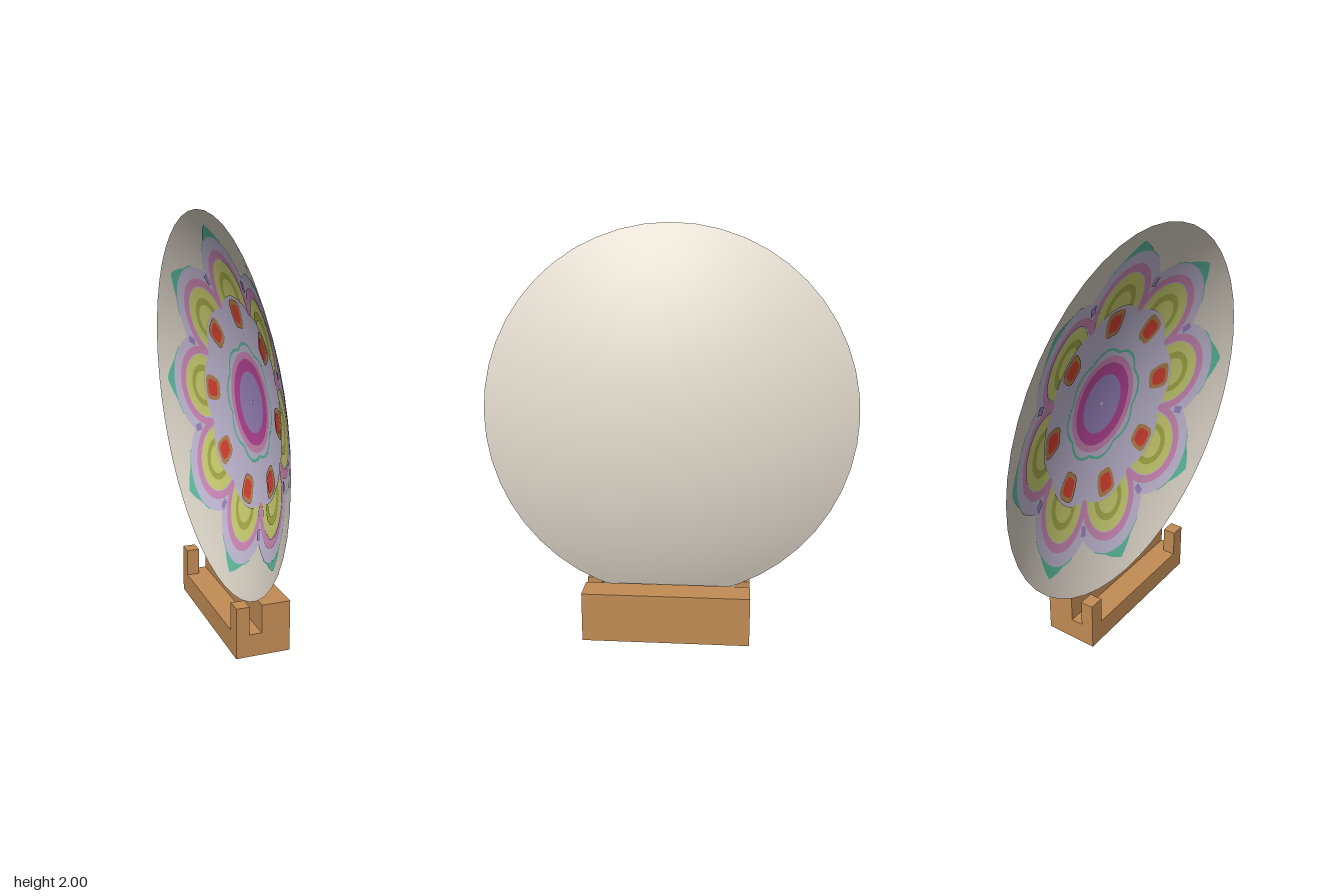
import * as THREE from 'three';

const material = (name, color) => new THREE.MeshStandardMaterial({ name, color, side: THREE.DoubleSide });
const M = {
  cream: material('cream glaze', 0xe4dccf),
  wood: material('wood brown', 0xc38d56),
  teal: material('teal', 0x5fc4a6),
  lavender: material('lavender', 0xcdc4e0),
  pink: material('pink', 0xda90c0),
  yellow: material('yellow green', 0xd8dc78),
  olive: material('olive', 0xb2b84e),
  red: material('red', 0xea4636),
  magenta: material('magenta', 0xc54aa2),
  violet: material('violet', 0xa48cc8),
};

// Spherical bowl: rim radius, depth, and sphere radius
const RIM = 0.9165, DEPTH = 0.212;
const SPHERE = (RIM * RIM + DEPTH * DEPTH) / (2 * DEPTH);
const bowl = (r) => SPHERE - Math.sqrt(SPHERE * SPHERE - r * r);

// Painted patch lying on the bowl, between two radius functions of the angle
function paint(name, mat, inner, outer, half, { turn = 0, lift = 0.003, across = 24, along = 6 } = {}) {
  const geo = new THREE.PlaneGeometry(2 * half, 1, across, along);
  const p = geo.attributes.position;
  for (let i = 0; i < p.count; i++) {
    const a = p.getX(i), t = p.getY(i) + 0.5;
    const r = THREE.MathUtils.lerp(inner(a), outer(a), t);
    p.setXYZ(i, r * Math.cos(a + turn), bowl(r) + lift, r * Math.sin(a + turn));
  }
  geo.computeVertexNormals();
  const mesh = new THREE.Mesh(geo, mat);
  mesh.name = name;
  return mesh;
}

// Round petal outline: a circle of radius rho centred at AXIS on the petal axis
const AXIS = 0.515;
const lobe = (rho) => (a) =>
  AXIS * Math.cos(a) + Math.sqrt(Math.max(0, rho * rho - (AXIS * Math.sin(a)) ** 2));
const flat = (r) => () => r;
const chord = (a) => AXIS * Math.cos(a);
const halfAngle = (rho) => Math.asin(rho / AXIS);

function createMandala() {
  const g = new THREE.Group();
  g.name = 'mandala';
  const full = { across: 96, along: 3 };

  // Centre rosette
  g.add(paint('centreDisc', M.violet, flat(0.008), flat(0.15), Math.PI, full));
  g.add(paint('centreRing', M.magenta, flat(0.15), flat(0.21), Math.PI, full));
  g.add(paint('centreHalo', M.pink, flat(0.21), flat(0.245), Math.PI, full));
  const scallop = (a) => 0.255 + 0.025 * Math.abs(Math.cos(4 * a));
  const scallopEdge = (a) => scallop(a) + 0.014;
  g.add(paint('centreFrill', M.lavender, flat(0.245), scallop, Math.PI, full));
  g.add(paint('centreScallop', M.teal, scallop, scallopEdge, Math.PI, full));

  // Eight petals, each with its tip, arches and bud
  const step = Math.PI / 8;
  const tip = (a) => lobe(0.275)(a) + 0.006 + 0.05 * Math.max(0, 1 - Math.abs(a) / 0.15);
  const bud = (h, w, s) => (a) => 0.43 + s * h * Math.pow(Math.max(0, 1 - (a / w) ** 4), 0.35);
  for (let k = 0; k < 8; k++) {
    const turn = k * Math.PI / 4;
    const petal = new THREE.Group();
    petal.name = 'petal';
    petal.add(
      paint('petalBase', M.lavender, scallopEdge, lobe(0.275), step, { turn, along: 12 }),
      paint('petalTip', M.teal, lobe(0.275), tip, 0.26, { turn, along: 2 }),
      paint('petalBand', M.pink, lobe(0.175), lobe(0.215), step, { turn, lift: 0.005 }),
      paint('petalFill', M.yellow, chord, lobe(0.17), halfAngle(0.17), { turn, lift: 0.005 }),
      paint('petalArch', M.olive, chord, lobe(0.115), halfAngle(0.115), { turn, lift: 0.007 }),
      paint('petalHeart', M.yellow, chord, lobe(0.08), halfAngle(0.08), { turn, lift: 0.009 }),
      paint('budEdge', M.wood, bud(0.068, 0.155, -1), bud(0.068, 0.155, 1), 0.155, { turn, lift: 0.007 }),
      paint('bud', M.red, bud(0.045, 0.105, -1), bud(0.045, 0.105, 1), 0.105, { turn, lift: 0.009 }),
      paint('petalNotch', M.violet, flat(0.6), flat(0.65), 0.03, { turn: turn + step, lift: 0.007, across: 4 }),
    );
    g.add(petal);
  }
  return g;
}

function createPlate() {
  const g = new THREE.Group();
  g.name = 'plate';
  const profile = [];
  for (let i = 0; i <= 20; i++) {
    const r = RIM * i / 20;
    profile.push(new THREE.Vector2(r, bowl(r)));
  }
  const dish = new THREE.Mesh(new THREE.LatheGeometry(profile, 48), M.cream);
  dish.name = 'dish';
  g.add(dish, createMandala());
  // Tip the bowl on edge, hollow side towards -x and leaning slightly
  g.rotation.z = Math.PI / 2 + 0.0739;
  g.position.set(0.124, 1.103, 0);
  return g;
}

function createStand() {
  const g = new THREE.Group();
  g.name = 'stand';
  const block = (name, x0, x1, y0, y1, z0, z1) => {
    const m = new THREE.Mesh(new THREE.BoxGeometry(x1 - x0, y1 - y0, z1 - z0), M.wood);
    m.name = name;
    m.position.set((x0 + x1) / 2, (y0 + y1) / 2, (z0 + z1) / 2);
    g.add(m);
  };
  block('standBase', -0.11, 0.155, 0, 0.11, -0.41, 0.41);
  block('standBackWall', 0.015, 0.155, 0.11, 0.247, -0.41, 0.41);
  block('standPostBack', -0.11, -0.045, 0.11, 0.247, -0.41, -0.335);
  block('standPostFront', -0.11, -0.045, 0.11, 0.247, 0.335, 0.41);
  return g;
}

export function createModel() {
  const model = new THREE.Group();
  model.name = 'plateOnStand';
  model.add(createPlate(), createStand());
  return model;
}
